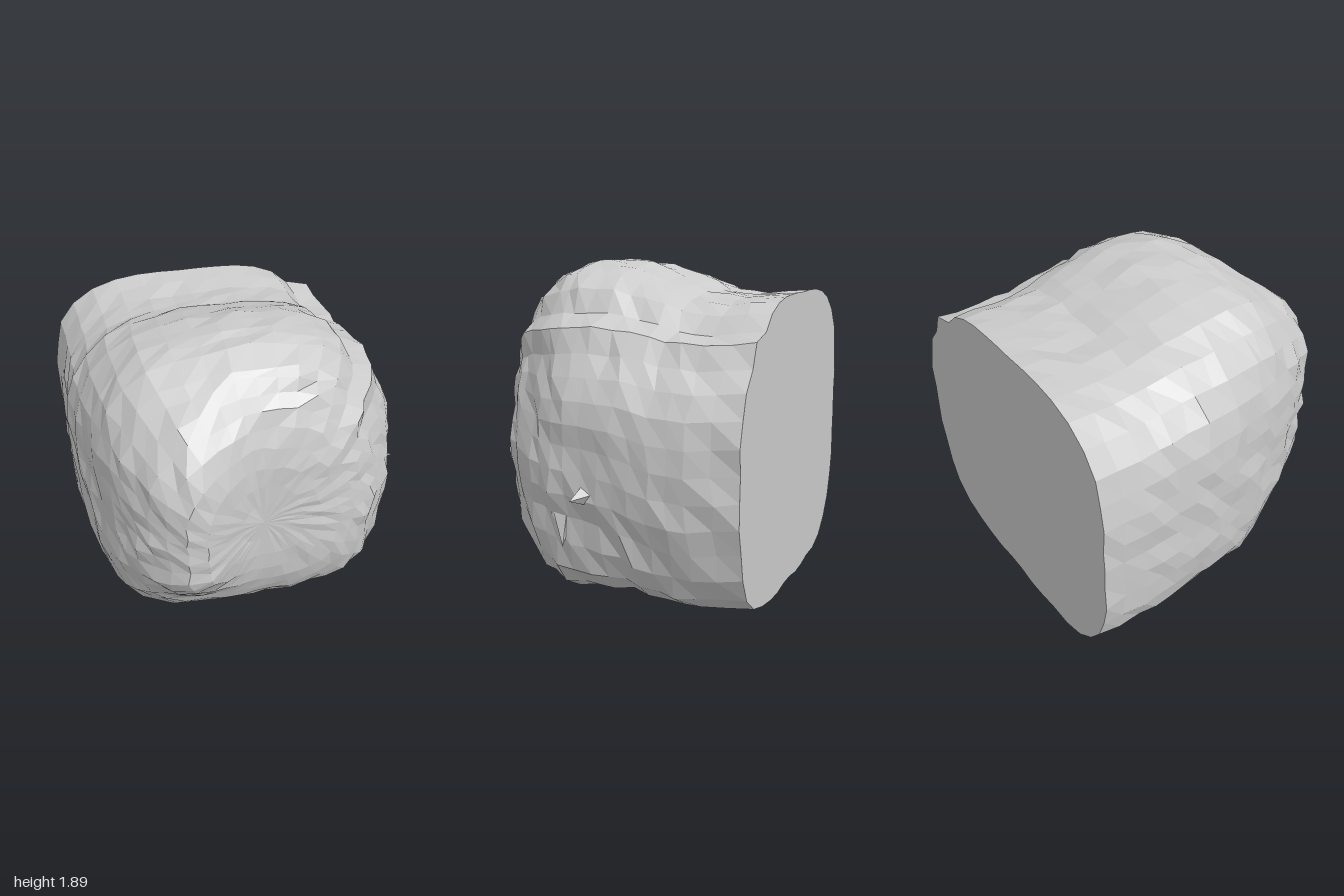
import * as THREE from 'three';

const material = new THREE.MeshStandardMaterial({ color: 0xcccccc, flatShading: true, side: THREE.DoubleSide });

// Cross-sections from the flat back to the shoulder of the front: z, xMin, xMax, yMin, yMax
const SECTIONS = [
  [-0.87, -1.0, 0.88, 0.05, 1.72],
  [-0.6, -0.99, 0.92, 0.02, 1.69],
  [-0.4, -0.99, 0.93, 0.03, 1.71],
  [-0.2, -0.99, 0.92, 0.05, 1.8],
  [0.0, -0.96, 0.9, 0.02, 1.87],
  [0.2, -0.92, 0.88, 0.01, 1.89],
  [0.35, -0.88, 0.82, 0.06, 1.87],
  [0.48, -0.83, 0.73, 0.18, 1.81],
];
// Shrinking rings that close the front
const CAP_RINGS = [0.95, 0.88, 0.8, 0.7, 0.58, 0.44, 0.3, 0.15];
const SIDES = 44;
const { smoothstep } = THREE.MathUtils;

// Repeatable value from -1 to 1 for chipped facets
function chip(i, j) {
  const s = Math.sin(i * 127.1 + j * 311.7) * 43758.5453;
  return 2 * (s - Math.floor(s)) - 1;
}

const bump = (value, centre, width) => Math.exp(-(((value - centre) / width) ** 2));

// Point on a boxy section; the upper +x corner is softer and broken by grooves
function sectionPoint([z, x0, x1, y0, y1], i, j) {
  const t = (j / SIDES) * Math.PI * 2;
  const c = Math.cos(t), s = Math.sin(t);
  const a = (x1 - x0) / 2, b = (y1 - y0) / 2;
  const n = c > 0 && s > 0 ? 2.5 : 3.7;
  let r = (Math.abs(c / a) ** n + Math.abs(s / b) ** n) ** (-1 / n);
  const deg = (t * 180) / Math.PI;
  r *= 1 - 0.08 * bump(deg, 51, 5) - 0.05 * bump(deg, 30, 5);
  r *= 1 - 0.04 * bump(deg, 333, 7);
  r *= 1 - 0.1 * smoothstep(z, 0.1, 0.45) * bump(deg, 20, 20); // wall beside the front
  r *= 1 + 0.012 * chip(i, j);
  const x = (x0 + x1) / 2 + r * c;
  const dome = s > 0 ? 0.12 * s * x * x * smoothstep(z, -0.5, 0) : 0;
  const y = Math.max(0, (y0 + y1) / 2 + r * s - dome);
  return [x, y, i === 0 ? z : z + 0.018 * chip(j + 7, i)];
}

// Front surface: nearly flat, swelling toward -x and receding low down
function frontDepth(x, y, rho) {
  const swell = 0.22 * smoothstep(-x, 0.05, 0.5) * smoothstep(y, 0.35, 0.8);
  return 0.48 + (0.25 + swell) * (1 - rho ** 4);
}

function boulderGeometry() {
  // Insert a midway ring between sections
  const rings = [];
  SECTIONS.forEach((sec, k) => {
    rings.push(sec);
    if (k < 6) rings.push(sec.map((v, m) => (v + SECTIONS[k + 1][m]) / 2));
  });
  const positions = [], index = [];
  rings.forEach((ring, i) => {
    for (let j = 0; j < SIDES; j++) positions.push(...sectionPoint(ring, i, j));
  });

  // Front cap
  const shoulder = rings.length - 1;
  const cx = -0.05, cy = 0.98;
  CAP_RINGS.forEach((rho, k) => {
    for (let j = 0; j < SIDES; j++) {
      const [px, py] = sectionPoint(rings[shoulder], shoulder, j);
      const scale = rho * (1 + 0.02 * chip(k + 31, j));
      const x = cx + (px - cx) * scale, y = cy + (py - cy) * scale;
      positions.push(x, y, frontDepth(x, y, rho) + 0.015 * rho * chip(j, k + 53));
    }
  });

  const last = shoulder + CAP_RINGS.length;
  const back = positions.length / 3;
  positions.push(-0.06, 0.88, -0.87, cx, cy, frontDepth(cx, cy, 0));
  for (let j = 0; j < SIDES; j++) {
    const k = (j + 1) % SIDES;
    for (let i = 0; i < last; i++) {
      const a = i * SIDES + j, b = i * SIDES + k;
      index.push(a, b, b + SIDES, a, b + SIDES, a + SIDES);
    }
    index.push(back, k, j); // flat back
    index.push(back + 1, last * SIDES + j, last * SIDES + k); // front centre
  }
  const geometry = new THREE.BufferGeometry();
  geometry.setAttribute('position', new THREE.Float32BufferAttribute(positions, 3));
  geometry.setIndex(index);
  const flat = geometry.toNonIndexed();
  flat.computeVertexNormals();
  return flat;
}

// Small pointed splinter from a base point to its tip
function shard(base, tip, radius) {
  const from = new THREE.Vector3(...base), to = new THREE.Vector3(...tip);
  const dir = to.clone().sub(from);
  const mesh = new THREE.Mesh(new THREE.ConeGeometry(radius, dir.length(), 4), material);
  mesh.quaternion.setFromUnitVectors(new THREE.Vector3(0, 1, 0), dir.clone().normalize());
  mesh.position.copy(from).add(to).multiplyScalar(0.5);
  mesh.name = 'shard';
  return mesh;
}

export function createModel() {
  const group = new THREE.Group();
  group.name = 'flatBackedBoulder';
  const rock = new THREE.Mesh(boulderGeometry(), material);
  rock.name = 'boulder';
  group.add(rock);

  // Splinters on the broken +x side
  group.add(
    shard([0.8, 0.7, -0.04], [1.0, 0.69, 0.0], 0.09),
    shard([0.8, 0.57, 0.15], [0.87, 0.39, 0.12], 0.06),
  );
  return group;
}
